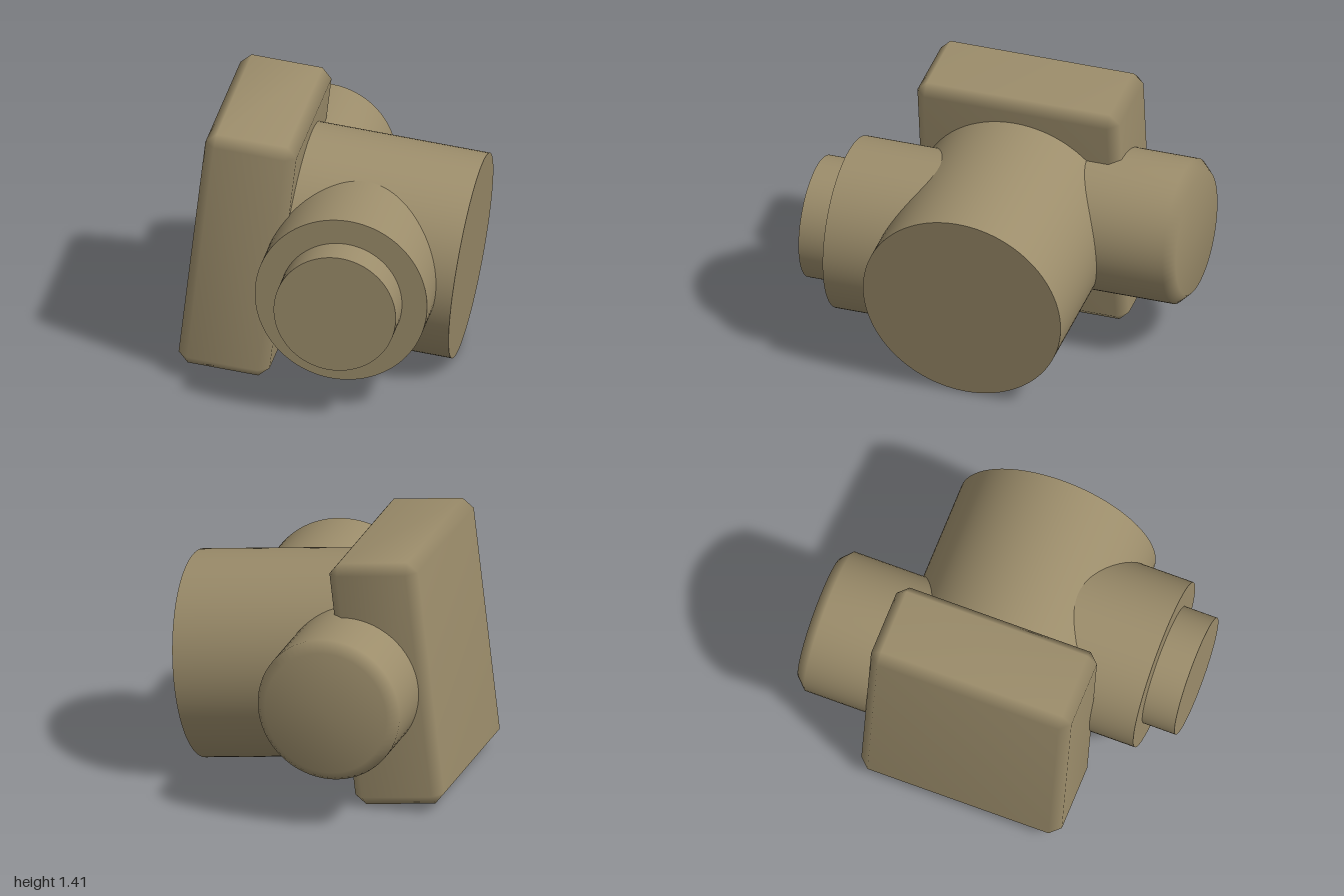
import * as THREE from 'three';
import { mergeVertices } from 'three/addons/utils/BufferGeometryUtils.js';
import { ConvexGeometry } from 'three/addons/geometries/ConvexGeometry.js';

const TILT = -0.116;   // the whole body leans about z
const AXIS_Y = 0.647;  // shared axis height in the tilted frame

// Weld the vertices so bevels shade softly into the large faces
function soften(geometry) {
  geometry.deleteAttribute('normal');
  geometry.deleteAttribute('uv');
  const welded = mergeVertices(geometry, 1e-4);
  welded.computeVertexNormals();
  return welded;
}

// Box with one flat chamfer on every edge
function chamferBox(w, h, d, c) {
  const points = [];
  for (const x of [-1, 1]) for (const y of [-1, 1]) for (const z of [-1, 1]) {
    for (let flush = 0; flush < 3; flush++) {
      const inset = [c, c, c];
      inset[flush] = 0;
      points.push(new THREE.Vector3(
        x * (w / 2 - inset[0]), y * (h / 2 - inset[1]), z * (d / 2 - inset[2])));
    }
  }
  return soften(new ConvexGeometry(points));
}

export function createModel() {
  const model = new THREE.Group();
  const body = new THREE.Group();
  body.name = 'body';
  body.rotation.z = TILT;
  model.add(body);

  const tan = new THREE.MeshStandardMaterial({ color: 0x9c8d6b });
  tan.name = 'tan';

  const add = (name, geometry, x, y, z) => {
    const mesh = new THREE.Mesh(geometry, tan);
    mesh.name = name;
    mesh.position.set(x, y, z);
    body.add(mesh);
  };
  // Cylinder along z between two depths
  const frontCylinder = (r, z0, z1) =>
    new THREE.CylinderGeometry(r, r, z1 - z0, 96).rotateX(Math.PI / 2).translate(0, 0, (z0 + z1) / 2);

  // Chamfered block at the side
  add('block', chamferBox(0.5, 1.37, 1.15, 0.056), -0.542, 0.648, -0.011);

  // Large barrel running out of the block
  const barrel = new THREE.CylinderGeometry(0.561, 0.561, 1.1445, 96).rotateZ(-Math.PI / 2);
  add('barrel', barrel, 0.0723, AXIS_Y, -0.006);

  // Stepped front boss
  add('frontBoss', frontCylinder(0.47, 0, 0.815), 0.083, AXIS_Y, 0);
  add('frontTip', frontCylinder(0.333, 0.7, 1), 0.083, AXIS_Y, 0);

  // Rear knob with a bevelled end
  const profile = [[0.397, 0.2], [0.397, 0.942], [0.34, 1], [0, 1]]
    .map(([r, y]) => new THREE.Vector2(r, y));
  const knob = soften(new THREE.LatheGeometry(profile, 64)).rotateX(-Math.PI / 2);
  add('rearKnob', knob, -0.339, AXIS_Y, 0);

  return model;
}
